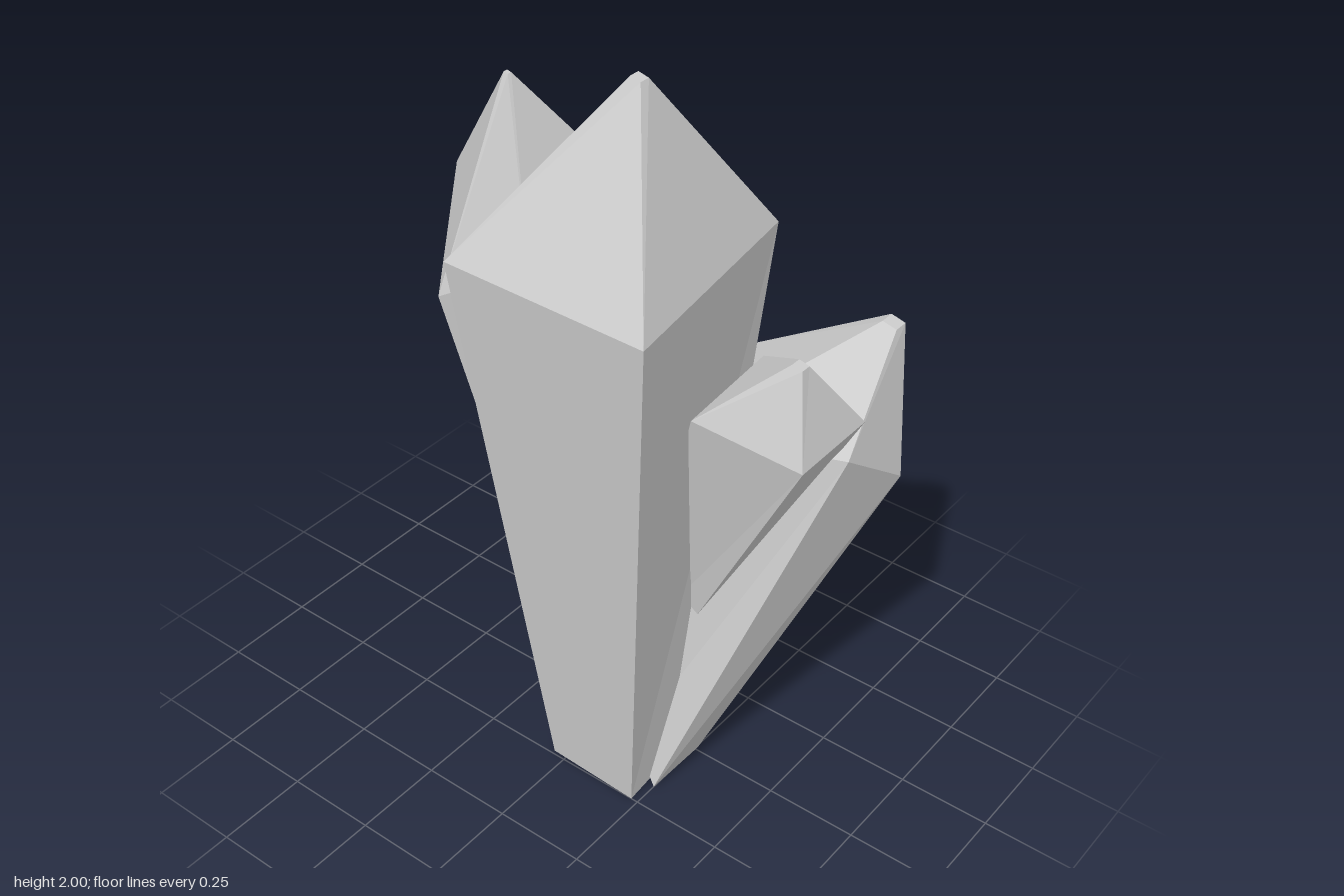
import * as THREE from 'three';

const material = new THREE.MeshStandardMaterial({ color: 0xcccccc, flatShading: true });

// Four-sided crystal lofted through rings of corners, each ring ordered
// front-left, front-right, back-right, back-left
function crystal(name, base, shoulder, tip, tipSize) {
  const [tx, ty, tz] = tip;
  const s = tipSize;
  const crown = [
    [tx - s, ty - s / 2, tz + s], [tx + s, ty - s / 2, tz + s],
    [tx + s, ty, tz - s], [tx - s, ty, tz - s],
  ];
  const rings = [base, shoulder, crown];
  const positions = [];
  const quad = (a, b, c, d) => positions.push(...a, ...b, ...c, ...a, ...c, ...d);

  // shaft and pyramid sides
  for (let r = 0; r < 2; r++) {
    for (let i = 0; i < 4; i++) {
      const j = (i + 1) % 4;
      quad(rings[r][i], rings[r][j], rings[r + 1][j], rings[r + 1][i]);
    }
  }
  // end caps
  quad(...crown);
  quad(base[3], base[2], base[1], base[0]);

  const geometry = new THREE.BufferGeometry();
  geometry.setAttribute('position', new THREE.Float32BufferAttribute(positions, 3));
  geometry.computeVertexNormals();
  const mesh = new THREE.Mesh(geometry, material);
  mesh.name = name;
  return mesh;
}

export function createModel() {
  const group = new THREE.Group();
  group.name = 'crystalCluster';

  group.add(
    crystal('mainCrystal',
      [[-0.25, 0, 0.23], [0.02, 0, 0.21], [0.02, 0.01, -0.06], [-0.24, 0, -0.04]],
      [[-0.42, 1.555, 0.39], [0.2, 1.555, 0.3], [0.2, 1.555, -0.22], [-0.41, 1.555, -0.18]],
      [-0.13, 2, 0.15], 0.014),

    crystal('backCrystal',
      [[-0.08, 0.09, 0.06], [0.02, 0.08, -0.02], [0.035, 0.07, -0.09], [-0.11, 0.08, -0.06]],
      [[-0.25, 1.5, -0.07], [0.24, 1.45, -0.1], [0.11, 1.445, -0.62], [-0.23, 1.3, -0.38]],
      [-0.02, 1.83, -0.32], 0.006),

    // twisted shaft, its small base showing beside the main crystal
    crystal('leftCrystal',
      [[0.2, 0.48, 0.085], [0.3, 0.55, -0.005], [0.15, 0.45, -0.05], [0.06, 0.4, 0]],
      [[0.1, 1.53, 0.1], [0.345, 1.45, 0.08], [0.35, 1.43, -0.285], [0.08, 1.5, -0.2]],
      [0.215, 1.73, -0.12], 0.005),

    crystal('frontLeftCrystal',
      [[-0.18, 0, 0.25], [0, 0.01, 0.26], [0.04, 0.08, 0.12], [-0.1, 0.05, 0.12]],
      [[0.09, 1.07, 0.6], [0.31, 0.91, 0.62], [0.415, 1.03, 0.1], [0, 1.02, 0.18]],
      [0.395, 1.275, 0.515], 0.02),

    crystal('smallFrontCrystal',
      [[0, 0.3, 0.16], [0.05, 0.3, 0.16], [0.04, 0.3, 0.06], [0, 0.3, 0.06]],
      [[-0.12, 1.16, 0.608], [0.115, 1.18, 0.62], [0.12, 1.24, 0.33], [-0.165, 1.21, 0.33]],
      [-0.04, 1.385, 0.535], 0.014),
  );

  return group;
}
